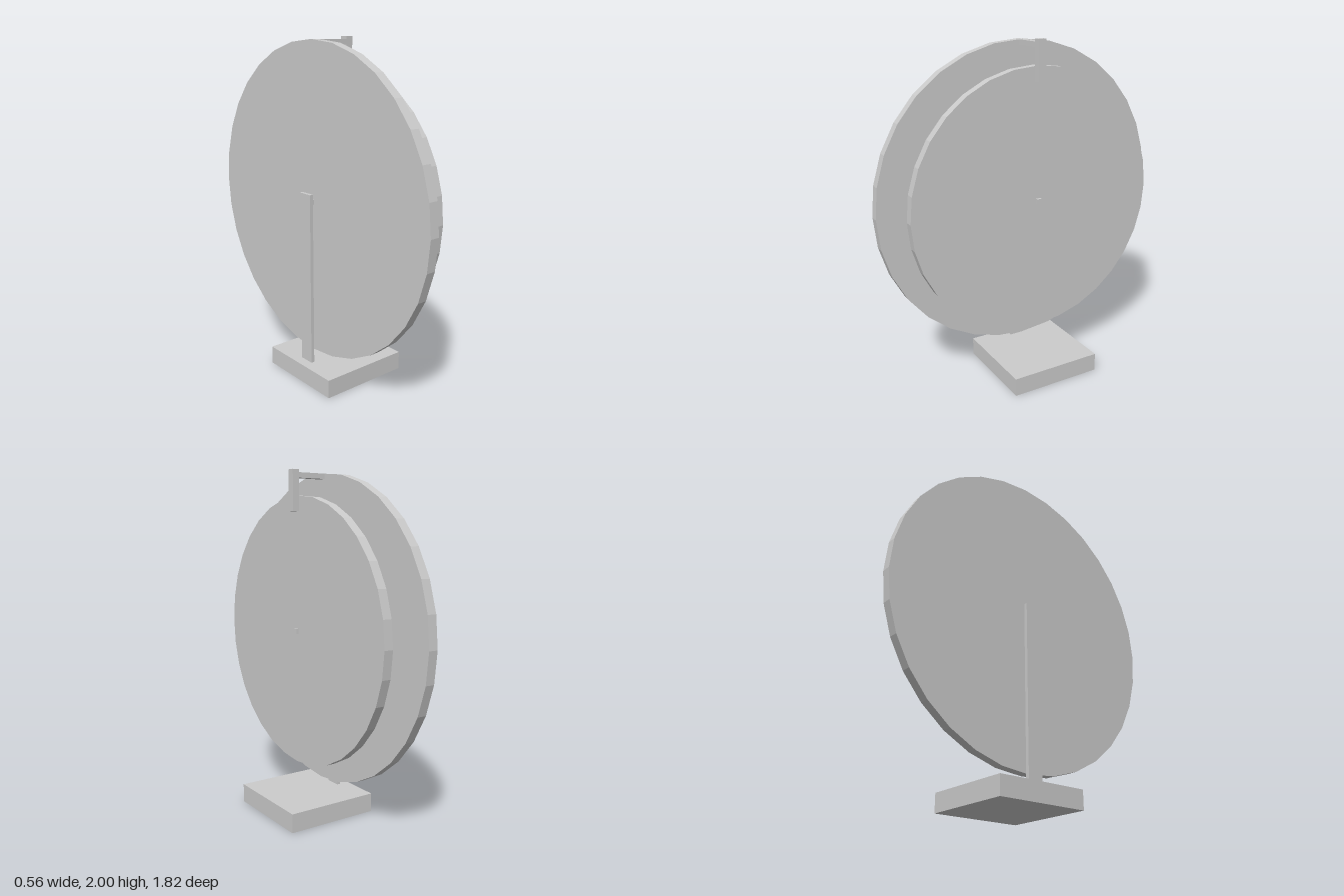
import * as THREE from 'three';

export function createModel() {
  const group = new THREE.Group();
  const material = new THREE.MeshStandardMaterial({ color: 0xcccccc, flatShading: true });
  const axisY = 1.077;

  function add(name, geometry, x, y, z = 0) {
    const mesh = new THREE.Mesh(geometry, material);
    mesh.name = name;
    mesh.position.set(x, y, z);
    group.add(mesh);
  }

  // Box given by its x and y ranges and its depth, centred on z = 0
  function box(name, x0, x1, y0, y1, depth) {
    add(name, new THREE.BoxGeometry(x1 - x0, y1 - y0, depth), (x0 + x1) / 2, (y0 + y1) / 2);
  }

  // Upright disc facing along x
  function disc(name, x0, x1, radius) {
    const geometry = new THREE.CylinderGeometry(radius, radius, x1 - x0, 32).rotateZ(Math.PI / 2);
    add(name, geometry, (x0 + x1) / 2, axisY);
  }

  // Foot and rear post
  box('base', -0.28, 0.28, 0, 0.11, 0.56);
  box('post', -0.222, -0.201, 0.11, 1.14, 0.094);

  // Two discs on a square axle
  disc('largeDisc', -0.168, -0.111, 0.909);
  disc('smallDisc', 0.008, 0.063, 0.78);
  box('axle', -0.201, 0.08, 1.071, 1.103, 0.03);

  // Pointer reaching over the small disc
  box('pointerArm', -0.14, 0.065, 1.954, 1.984, 0.044);
  box('pointer', 0.064, 0.106, 1.77, 2, 0.046);

  return group;
}
